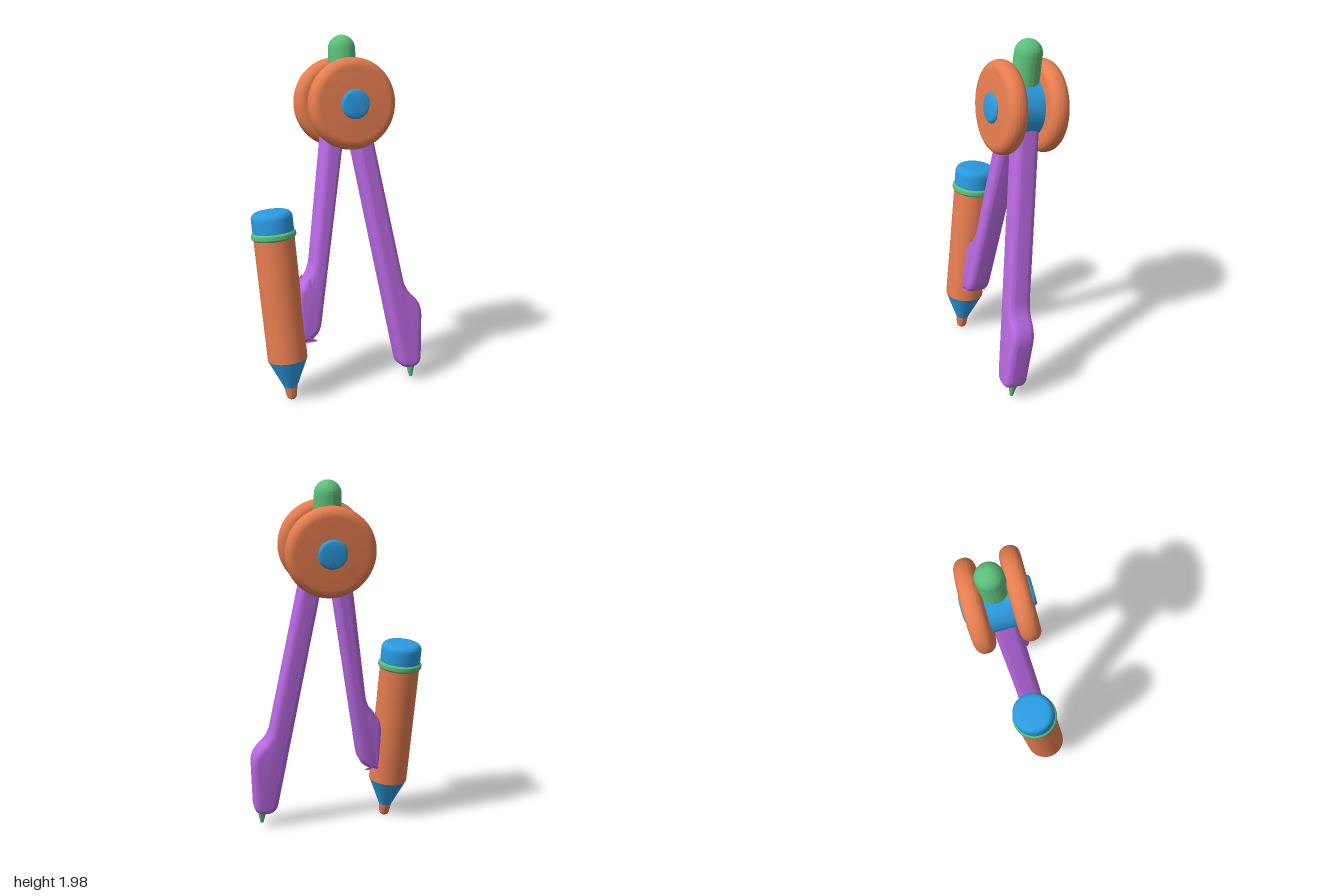
import * as THREE from 'three';
import { toCreasedNormals } from 'three/addons/utils/BufferGeometryUtils.js';

const paint = (color) => new THREE.MeshStandardMaterial({ color });
const orange = paint(0xe67d4f);
const blue = paint(0x2a9be0);
const green = paint(0x5cbf7a);
const purple = paint(0xb868e0);

function add(parent, name, geometry, material, x = 0, y = 0, z = 0) {
  const mesh = new THREE.Mesh(geometry, material);
  mesh.name = name;
  mesh.position.set(x, y, z);
  parent.add(mesh);
  return mesh;
}

// Turned shape from [radius, height] pairs, bottom to top
function turned(pairs) {
  const points = pairs.map(([r, y]) => new THREE.Vector2(r, y));
  return toCreasedNormals(new THREE.LatheGeometry(points, 64), 0.5);
}

// Cylinder with rounded rims, centred on its axis
function roundedDisc(radius, height, edge) {
  const pairs = [[0, -height / 2]];
  for (const side of [-1, 1]) {
    for (let i = 0; i <= 10; i++) {
      const a = (Math.PI / 2) * (side < 0 ? i / 10 - 1 : i / 10);
      pairs.push([radius - edge + edge * Math.cos(a), side * (height / 2 - edge) + edge * Math.sin(a)]);
    }
  }
  pairs.push([0, height / 2]);
  return turned(pairs);
}

// Flat bar with softened edges; corners are [x, y, rounding]
function legGeometry(corners, thickness, bevel) {
  const shape = new THREE.Shape();
  const n = corners.length;
  const at = (i) => new THREE.Vector2(...corners[(i + n) % n].slice(0, 2));
  for (let i = 0; i < n; i++) {
    const c = at(i);
    const r = corners[i][2];
    const a = at(i - 1).sub(c).setLength(r).add(c);
    const b = at(i + 1).sub(c).setLength(r).add(c);
    if (i === 0) shape.moveTo(a.x, a.y);
    else shape.lineTo(a.x, a.y);
    shape.quadraticCurveTo(c.x, c.y, b.x, b.y);
  }
  shape.closePath();
  const geometry = new THREE.ExtrudeGeometry(shape, {
    depth: thickness - 2 * bevel, curveSegments: 8, bevelEnabled: true,
    bevelThickness: bevel, bevelSize: bevel, bevelOffset: -bevel, bevelSegments: 6,
  });
  geometry.translate(0, 0, bevel - thickness / 2);
  return toCreasedNormals(geometry, 0.7);
}

function makeHinge() {
  const hinge = new THREE.Group();
  hinge.name = 'hinge';
  add(hinge, 'hub', new THREE.CylinderGeometry(0.155, 0.155, 0.2, 64), blue).rotation.x = Math.PI / 2;
  for (const [side, label] of [[1, 'front'], [-1, 'back']]) {
    add(hinge, label + 'Disc', roundedDisc(0.248, 0.108, 0.05), orange, 0, 0, side * 0.118)
      .rotation.x = Math.PI / 2;
    add(hinge, label + 'Button', roundedDisc(0.081, 0.06, 0.018), blue, 0, 0, side * 0.158)
      .rotation.x = Math.PI / 2;
  }
  // Handle with a domed top
  const profile = [[0.077, 0.1]];
  for (let i = 0; i <= 14; i++) {
    const a = (i / 14) * (Math.PI / 2);
    profile.push([i === 14 ? 0 : 0.074 * Math.cos(a), 0.293 + 0.074 * Math.sin(a)]);
  }
  add(hinge, 'handle', turned(profile), green);
  return hinge;
}

function makePencil() {
  const pencil = new THREE.Group();
  pencil.name = 'pencil';
  add(pencil, 'lead', turned([[0, 0], [0.014, 0.002], [0.024, 0.009], [0.029, 0.022], [0.037, 0.075]]), orange);
  add(pencil, 'sharpenedCone', new THREE.CylinderGeometry(0.111, 0.037, 0.165, 64), blue, 0, 0.1575);
  add(pencil, 'pencilBody', new THREE.CylinderGeometry(0.113, 0.111, 0.7, 64), orange, 0, 0.59);
  add(pencil, 'ferrule', roundedDisc(0.124, 0.045, 0.02), green, 0, 0.95);
  add(pencil, 'eraser', roundedDisc(0.114, 0.16, 0.035), blue, 0, 1.0);
  return pencil;
}

export function createModel() {
  const model = new THREE.Group();
  model.name = 'drawingCompass';

  // The whole tool leans back and turns slightly about its hinge
  const tool = new THREE.Group();
  tool.name = 'leaningTool';
  tool.position.set(0.088, 1.636, -0.045);
  tool.rotation.set(-0.13, -0.08, 0, 'YXZ');
  model.add(tool);

  tool.add(makeHinge());

  // Needle leg with its flared foot
  add(tool, 'needleLeg', legGeometry([
    [-0.003, -0.02, 0.03], [0.265, -1.555, 0.06], [0.393, -1.555, 0.06],
    [0.412, -1.182, 0.07], [0.311, -1.084, 0.06], [0.115, -0.02, 0.03],
  ], 0.134, 0.035), purple);
  add(tool, 'needle', turned([[0, -1.627], [0.009, -1.624], [0.03, -1.53], [0, -1.5]]), green, 0.345);

  // Pencil leg with the clamp pad that grips the pencil
  add(tool, 'pencilLeg', legGeometry([
    [0.003, -0.02, 0.03], [-0.115, -0.02, 0.03], [-0.25, -0.925, 0.08],
    [-0.35, -1.02, 0.07], [-0.35, -1.31, 0.06], [-0.222, -1.3, 0.09],
  ], 0.134, 0.035), purple);

  const pencil = makePencil();
  pencil.position.set(-0.392, -1.635, 0.006);
  pencil.rotation.z = 0.057;
  tool.add(pencil);

  return model;
}
